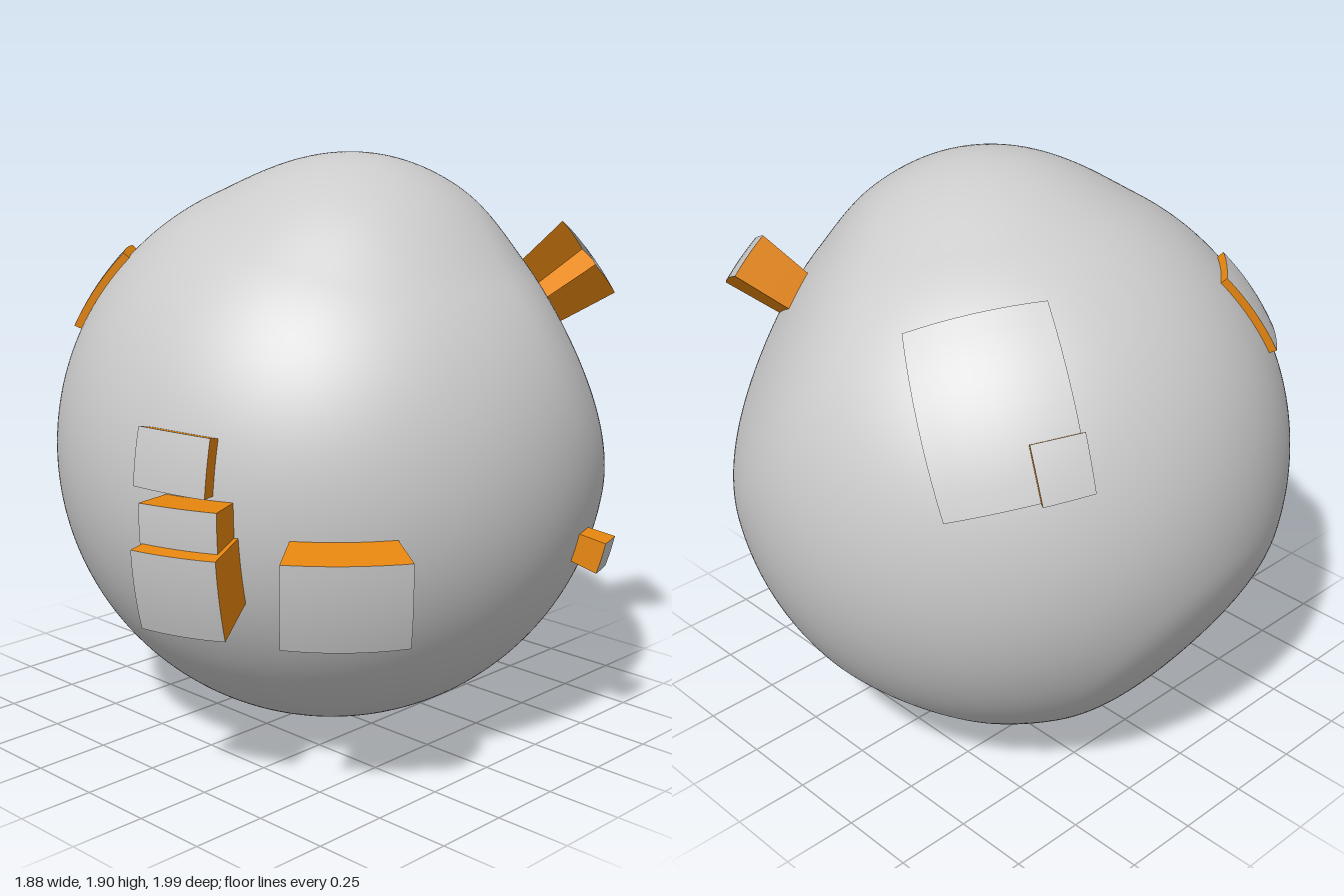
import * as THREE from 'three';
import { mergeGeometries, mergeVertices } from 'three/addons/utils/BufferGeometryUtils.js';

const CENTER = new THREE.Vector3(-0.015, 0.925, -0.077);
const RADIUS = 0.92;
const rad = THREE.MathUtils.degToRad;

// Soft bumps (+) and dents (-): direction, height, angular radius in degrees
const SWELLS = [
  { dir: [0.24, 0.97, 0.03], height: 0.068, spread: 36 },   // crown bump
  { dir: [0.58, 0.45, -0.66], height: -0.06, spread: 38 },  // hollow behind the crown
  { dir: [0.04, -0.88, -0.46], height: -0.12, spread: 27 }, // crater underneath
  { dir: [-0.8, -0.55, 0.1], height: -0.035, spread: 30 },  // flattened lower flank
].map(s => ({ ...s, dir: new THREE.Vector3(...s.dir).normalize() }));

function bodyRadius(dir) {
  let r = RADIUS;
  for (const s of SWELLS) {
    const t = dir.angleTo(s.dir) / rad(s.spread);
    if (t < 1) r += s.height * (1 - t * t) ** 2;
  }
  return r;
}

function makeBody(material) {
  let geo = new THREE.IcosahedronGeometry(1, 40);
  geo.deleteAttribute('uv');
  geo.deleteAttribute('normal');
  geo = mergeVertices(geo, 1e-5);
  const pos = geo.attributes.position;
  const d = new THREE.Vector3();
  for (let i = 0; i < pos.count; i++) {
    d.fromBufferAttribute(pos, i).normalize();
    d.multiplyScalar(bodyRadius(d)).add(CENTER);
    pos.setXYZ(i, d.x, d.y, d.z);
  }
  geo.computeVertexNormals();
  const mesh = new THREE.Mesh(geo, material);
  mesh.name = 'body';
  return mesh;
}

// Raised block over an angular window [a0,a1] x [b0,b1] (degrees) around a
// facing given by yaw (from +z towards +x), elevation and roll.
function makeBlock({ name, yaw, elev, roll = 0, a, b, r, openTop = false }, faceMat, sideMat) {
  const [y, e, k] = [yaw, elev, roll].map(rad);
  const n = new THREE.Vector3(Math.sin(y) * Math.cos(e), Math.sin(e), Math.cos(y) * Math.cos(e));
  const u = new THREE.Vector3(Math.cos(y), 0, -Math.sin(y)).applyAxisAngle(n, k);
  const v = n.clone().cross(u);
  const point = (s, t, radius) => n.clone()
    .addScaledVector(u, Math.tan(rad(s)))
    .addScaledVector(v, Math.tan(rad(t)))
    .setLength(radius).add(CENTER);

  // Bend a unit plane by a rule (s,t in 0..1)
  const bend = (segS, segT, rule) => {
    const geo = new THREE.PlaneGeometry(1, 1, segS, segT);
    const pos = geo.attributes.position;
    for (let i = 0; i < pos.count; i++) {
      const p = rule(pos.getX(i) + 0.5, pos.getY(i) + 0.5);
      pos.setXYZ(i, p.x, p.y, p.z);
    }
    geo.computeVertexNormals();
    return geo;
  };
  const mix = THREE.MathUtils.lerp;
  const face = bend(8, 8, (s, t) => point(mix(a[0], a[1], s), mix(b[0], b[1], t), r));

  // Walls run round the window from below the body surface up to the face
  const corners = [[a[0], b[0]], [a[1], b[0]], [a[1], b[1]], [a[0], b[1]]];
  const walls = [];
  corners.forEach((p, i) => {
    if (openTop && i === 2) return;
    const q = corners[(i + 1) % 4];
    walls.push(bend(8, 1, (s, t) => point(mix(p[0], q[0], s), mix(p[1], q[1], s), mix(0.82, r, t))));
  });

  const group = new THREE.Group();
  group.name = name;
  const faceMesh = new THREE.Mesh(face, faceMat);
  faceMesh.name = name + 'Face';
  const wallMesh = new THREE.Mesh(mergeGeometries(walls), sideMat);
  wallMesh.name = name + 'Walls';
  group.add(faceMesh, wallMesh);
  return group;
}

const sym = h => [-h, h];
const BACK = { yaw: -136.7, elev: 34.5, roll: 14 };
const BLOCKS = [
  // stack on the front
  { name: 'frontUpperBlock', yaw: 15.2, elev: 8.2, roll: -2, a: sym(7.4), b: sym(5.3), r: 0.975 },
  { name: 'frontMiddleBlock', yaw: 19.4, elev: -3, a: sym(7), b: sym(4.8), r: 1.05 },
  { name: 'frontLowerBlock', yaw: 20, elev: -11.7, a: sym(7.2), b: sym(6.8), r: 1.105 },
  // large block beside the stack
  { name: 'frontSideBlock', yaw: 46.6, elev: -12.2, a: sym(9.9), b: sym(7.4), r: 1.1 },
  // small stud on the flank
  { name: 'sideStud', yaw: 107.4, elev: -15, a: sym(2.7), b: sym(3), r: 1.01 },
  // thin plate high on the front
  { name: 'frontPlate', yaw: -47, elev: 35, a: sym(6.5), b: sym(9), r: 0.945 },
  // big back plate with a small block on its lower corner
  { name: 'backPlate', ...BACK, a: sym(13.2), b: sym(17), r: 0.96 },
  { name: 'backCornerBlock', ...BACK, a: [4.2, 13.4], b: [-17.2, -7], r: 1.0 },
  // tilted block high on the back, open along its upper edge
  { name: 'backTiltedBlock', yaw: 132, elev: 37, roll: 34, a: sym(7), b: sym(4.2), r: 1.065, openTop: true },
];

export function createModel() {
  const grey = new THREE.MeshStandardMaterial({ color: 0xcccccc });
  const greyThin = new THREE.MeshStandardMaterial({ color: 0xcccccc, side: THREE.DoubleSide });
  const orange = new THREE.MeshStandardMaterial({ color: 0xe8870f, side: THREE.DoubleSide });
  const model = new THREE.Group();
  model.name = 'model';
  model.add(makeBody(grey));
  for (const block of BLOCKS) model.add(makeBlock(block, greyThin, orange));
  return model;
}
